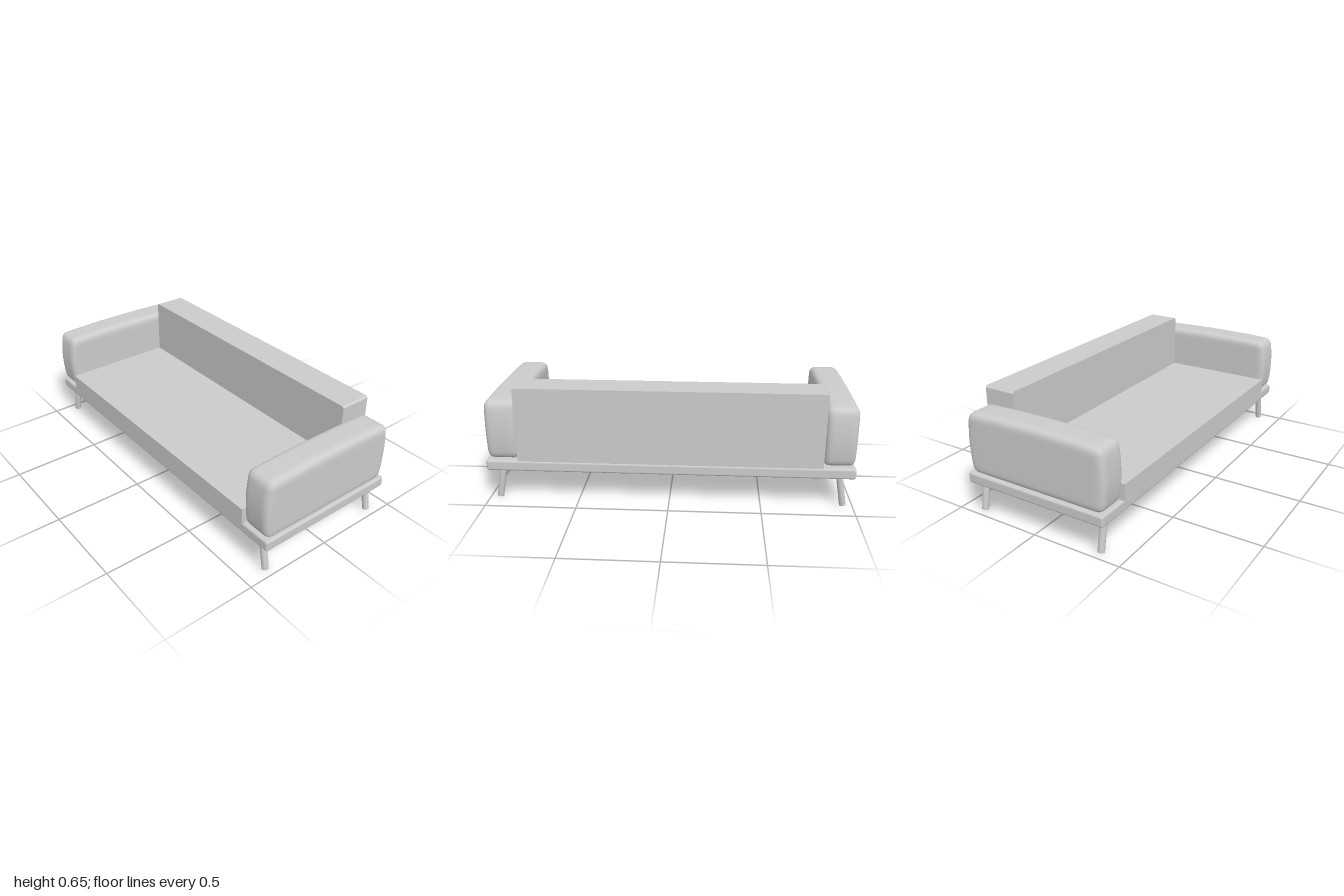
import * as THREE from 'three';
import { mergeVertices } from 'three/addons/utils/BufferGeometryUtils.js';
import { RoundedBoxGeometry } from 'three/addons/geometries/RoundedBoxGeometry.js';

const material = new THREE.MeshStandardMaterial({ color: 0xcccccc });

function addMesh(group, name, geometry, x, y, z) {
  const mesh = new THREE.Mesh(geometry, material);
  mesh.name = name;
  mesh.position.set(x, y, z);
  group.add(mesh);
  return mesh;
}

// Padded box: rounded edges, ends swelling at mid height and a lightly crowned top
function cushionGeometry(w, h, d, radius, swell, crown) {
  const geo = new THREE.BoxGeometry(2, 2, 2, 16, 20, 24);
  geo.deleteAttribute('uv');
  geo.deleteAttribute('normal');
  const pos = geo.attributes.position;
  const half = new THREE.Vector3(w / 2, h / 2 - crown / 2, d / 2 - swell);
  const inner = half.clone().subScalar(radius);
  const p = new THREE.Vector3(), core = new THREE.Vector3();
  // Crowd the grid towards the edges so that the rounding stays smooth
  const ease = (t) => Math.sign(t) * (1 - (1 - Math.abs(t)) ** 2);
  for (let i = 0; i < pos.count; i++) {
    p.fromBufferAttribute(pos, i);
    p.set(ease(p.x), ease(p.y), ease(p.z)).multiply(half);
    core.copy(p).clamp(inner.clone().negate(), inner);
    p.sub(core).setLength(radius).add(core);
    const u = p.y / half.y, v = p.z / half.z;
    p.z += v * swell * (1 - u * u);
    p.y += crown * (Math.max(u, 0) * (1 - v * v) - 0.5);
    pos.setXYZ(i, p.x, p.y, p.z);
  }
  const merged = mergeVertices(geo, 1e-5);
  merged.computeVertexNormals();
  return merged;
}

// Backrest: a slab with small chamfers on its upper end corners
function backrestGeometry(w, h, d, c) {
  const x = w / 2;
  const shape = new THREE.Shape([
    [-x, 0], [x, 0], [x, h - c], [x - c, h], [c - x, h], [-x, h - c],
  ].map(([a, b]) => new THREE.Vector2(a, b)));
  return new THREE.ExtrudeGeometry(shape, { depth: d, bevelEnabled: false });
}

export function createModel() {
  const sofa = new THREE.Group();
  sofa.name = 'sofa';

  addMesh(sofa, 'basePlatform', new RoundedBoxGeometry(2, 0.06, 0.831, 3, 0.012), 0, 0.202, -0.0025);
  addMesh(sofa, 'seat', new THREE.BoxGeometry(1.65, 0.091, 0.72), 0, 0.2765, 0.06);
  addMesh(sofa, 'backrest', backrestGeometry(1.65, 0.416, 0.18, 0.01), 0, 0.231, -0.417);

  const arm = cushionGeometry(0.172, 0.344, 0.832, 0.038, 0.018, 0.01);
  const legLength = 0.19;
  const leg = new THREE.CylinderGeometry(0.018, 0.018, legLength, 24);
  const tilt = THREE.MathUtils.degToRad(10);
  for (const side of [1, -1]) {
    addMesh(sofa, side > 0 ? 'leftArmrest' : 'rightArmrest', arm, side * 0.911, 0.403, 0.004);

    // Legs splay outwards to the sides
    for (const [end, z] of [['front', 0.364], ['back', -0.375]]) {
      const y = 0.003 + Math.cos(tilt) * legLength / 2;
      const x = 0.949 - Math.sin(tilt) * legLength / 2;
      const name = end + (side > 0 ? 'Left' : 'Right') + 'Leg';
      addMesh(sofa, name, leg, side * x, y, z).rotation.z = side * tilt;
    }
  }
  return sofa;
}
